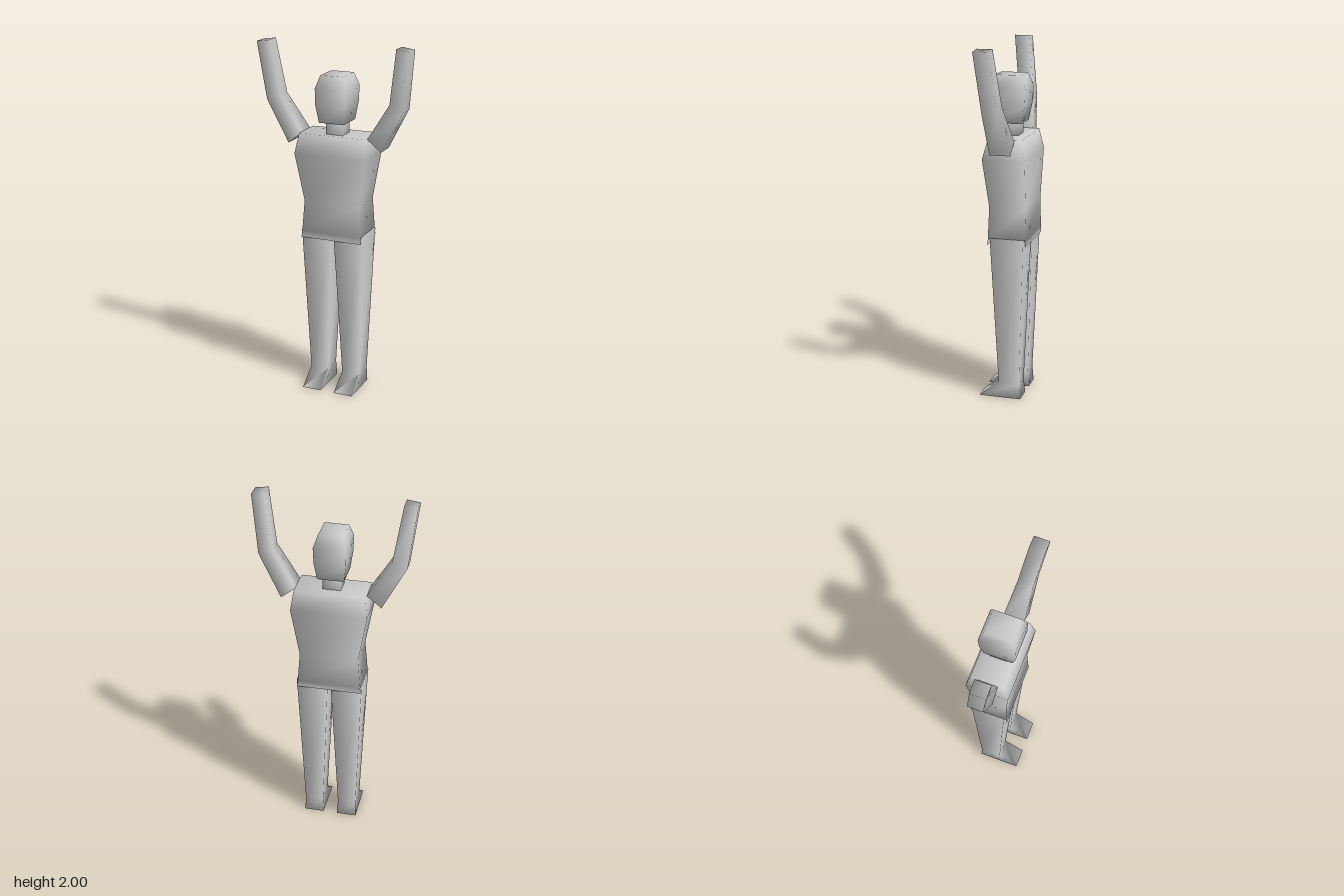
import * as THREE from 'three';

const grey = new THREE.MeshStandardMaterial({ color: 0xcccccc, side: THREE.DoubleSide });
grey.name = 'plain grey';

// Ring of four corners: the +x point, the -x point, front z and back z
const ring = ([px, py], [nx, ny], front, back) => [
  [px, py, front], [px, py, back], [nx, ny, back], [nx, ny, front],
];
const level = (y, halfWidth, front, back, cx = 0) =>
  ring([cx + halfWidth, y], [cx - halfWidth, y], front, back);

// Closed, smooth-shaded solid through rings ordered from bottom to top.
// hem: optional lower ring that extends only the front and back faces.
function loft(name, rings, hem) {
  const all = hem ? [...rings, hem] : rings;
  const index = [];
  const quad = (a, b, c, d) => index.push(a, b, c, a, c, d);
  for (let r = 0; r < rings.length - 1; r++) {
    for (let i = 0; i < 4; i++) {
      const a = r * 4 + i, b = r * 4 + (i + 1) % 4;
      quad(a, b, b + 4, a + 4);
    }
  }
  const top = (rings.length - 1) * 4;
  quad(top, top + 1, top + 2, top + 3);
  quad(3, 2, 1, 0);
  if (hem) {
    const h = rings.length * 4;
    quad(h + 1, h + 2, 2, 1);
    quad(h + 3, h, 0, 3);
  }
  const geo = new THREE.BufferGeometry();
  geo.setAttribute('position', new THREE.Float32BufferAttribute(all.flat(2), 3));
  geo.setIndex(index);
  geo.computeVertexNormals();
  const mesh = new THREE.Mesh(geo, grey);
  mesh.name = name;
  return mesh;
}

export function createModel() {
  const model = new THREE.Group();
  model.name = 'figure';

  // Shirt with open side vents at the hem
  model.add(loft('torso', [
    level(0.94, 0.177, 0.078, -0.132),
    level(1.12, 0.163, 0.074, -0.132),
    level(1.39, 0.21, 0.1, -0.138),
    level(1.5, 0.195, 0.07, -0.114),
  ], level(0.905, 0.181, 0.082, -0.133)));

  model.add(loft('neck', [
    level(1.49, 0.05, 0.035, -0.06),
    level(1.59, 0.05, 0.035, -0.06),
  ]));

  model.add(loft('head', [
    level(1.57, 0.073, 0.074, -0.085),
    level(1.67, 0.086, 0.094, -0.104),
    level(1.76, 0.089, 0.092, -0.108),
    level(1.83, 0.066, 0.068, -0.083),
  ]));

  for (const s of [1, -1]) {
    const side = s > 0 ? 'left' : 'right';

    // Leg and foot in one piece, toe sloping down to the ground
    model.add(loft(side + 'Leg', [
      level(0, 0.056, 0.14, -0.1, s * 0.097),
      level(0.09, 0.053, 0.026, -0.093, s * 0.098),
      level(0.945, 0.088, 0.066, -0.124, s * 0.096),
    ]));

    // Raised arm: shoulder, elbow, wrist
    const armRing = (inner, outer, front, back) => {
      const [i, o] = [inner, outer].map(([x, y]) => [s * x, y]);
      return s > 0 ? ring(o, i, front, back) : ring(i, o, front, back);
    };
    model.add(loft(side + 'Arm', [
      armRing([0.195, 1.495], [0.275, 1.43], 0.038, -0.077),
      armRing([0.32, 1.695], [0.402, 1.665], 0.04, -0.046),
      armRing([0.367, 2.0], [0.44, 1.99], 0.076, -0.01),
    ]));
  }
  return model;
}
